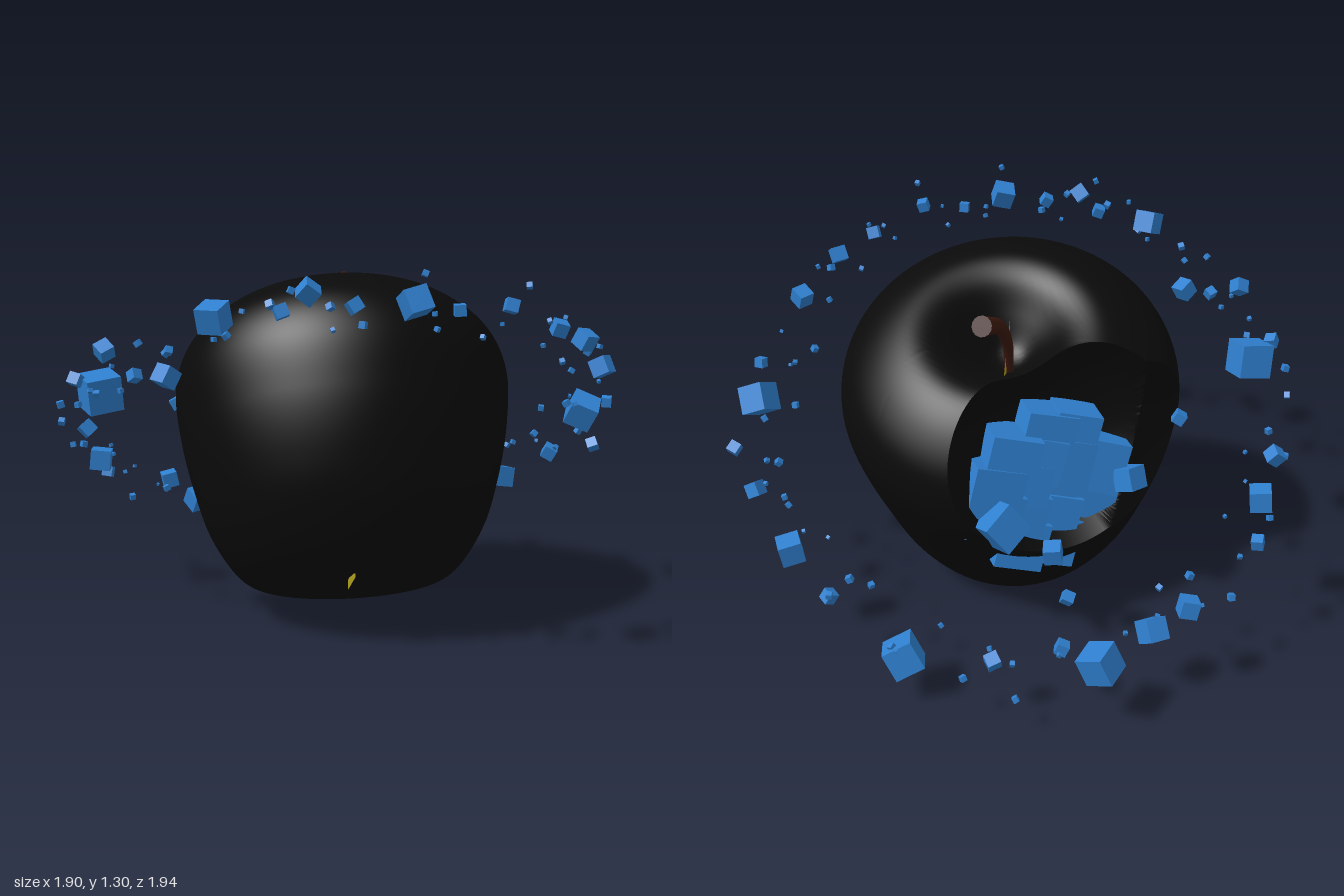
import * as THREE from 'three';
import { mergeVertices, toCreasedNormals } from 'three/addons/utils/BufferGeometryUtils.js';

const V = (x, y, z) => new THREE.Vector3(x, y, z);
const mat = (color, extra = {}) => new THREE.MeshStandardMaterial({ color, ...extra });

// Small seeded generator
function seeded(seed) {
  return () => {
    seed = (seed * 16807) % 2147483647;
    return seed / 2147483647;
  };
}

const CENTRE = V(0.01, 0.66, 0.04);
const AXIS = V(0.321, 0.891, -0.321).normalize();
// Sideways lean of the lower body
const LEAN = V(0.07, 0, -0.07);
// Spheres scooped out of the back: a deep one and a wide shallow one
const BITES = [
  { at: V(0.24, 0.78, -0.68), radius: 0.5 },
  { at: V(-0.1, 0.7, -1.25), radius: 0.84 },
];

// Apple outline as (polar angle from the axis, distance from the centre)
const OUTLINE = new THREE.SplineCurve([
  [0, 0.29], [0.06, 0.31], [0.14, 0.39], [0.23, 0.47], [0.33, 0.487], [0.45, 0.428], [0.555, 0.32],
  [0.6, 0.18], [0.585, 0], [0.54, -0.2], [0.48, -0.38], [0.38, -0.535], [0.27, -0.58],
  [0.15, -0.565], [0, -0.55],
].map(([r, h]) => new THREE.Vector2(r, h))).getPoints(300)
  .map((p) => ({ angle: Math.atan2(Math.max(p.x, 0), p.y), dist: p.length() }));

function outlineDistance(dir) {
  const angle = dir.angleTo(AXIS);
  const i = Math.max(1, OUTLINE.findIndex((p) => p.angle >= angle));
  const a = OUTLINE[i - 1], b = OUTLINE[i];
  return THREE.MathUtils.mapLinear(angle, a.angle, b.angle, a.dist, b.dist);
}

// Distance from the centre to the nearest bite wall
function biteDistance(dir) {
  return Math.min(...BITES.map(({ at, radius }) => {
    const o = CENTRE.clone().sub(at);
    const b = dir.dot(o);
    const disc = b * b - o.lengthSq() + radius * radius;
    return disc > 0 && b < 0 ? -b - Math.sqrt(disc) : Infinity;
  }));
}

// Apple: sphere grid with its pole in the bite and one row lying exactly on the bite rim
function appleGeometry() {
  const cols = 180, rows = 140, biteRows = 40;
  const turn = new THREE.Quaternion().setFromUnitVectors(
    V(0, 1, 0), V(0.1, 0.73, -0.8).sub(CENTRE).normalize());
  const direction = (col, theta) => {
    const u = (col / cols) * Math.PI * 2;
    return V(-Math.cos(u) * Math.sin(theta), Math.cos(theta), Math.sin(u) * Math.sin(theta))
      .applyQuaternion(turn);
  };
  const bitten = (col, theta) => {
    const d = direction(col, theta);
    return biteDistance(d) < outlineDistance(d);
  };
  const rim = Array.from({ length: cols + 1 }, (_, col) => {
    let hi = 0.02;
    while (bitten(col, hi)) hi += 0.02;
    let lo = hi - 0.02;
    for (let k = 0; k < 12; k++) {
      const mid = (lo + hi) / 2;
      if (bitten(col, mid)) lo = mid; else hi = mid;
    }
    return hi;
  });

  let geo = new THREE.SphereGeometry(1, cols, rows);
  const pos = geo.attributes.position;
  for (let i = 0; i < pos.count; i++) {
    const col = i % (cols + 1), row = Math.floor(i / (cols + 1));
    const theta = row <= biteRows
      ? (rim[col] * row) / biteRows
      : THREE.MathUtils.mapLinear(row, biteRows, rows, rim[col], Math.PI);
    const d = direction(col, theta);
    const p = d.clone().multiplyScalar(Math.min(outlineDistance(d), biteDistance(d)));
    const below = Math.min(0, p.dot(AXIS)) / 0.55;
    p.add(CENTRE).addScaledVector(LEAN, below * below);
    pos.setXYZ(i, p.x, p.y, p.z);
  }
  geo.deleteAttribute('uv');
  geo.deleteAttribute('normal');
  geo = mergeVertices(geo, 1e-5);
  return toCreasedNormals(geo, 0.6);
}

// Curved stem, thin at the base and wider at the tip
function stemGeometry() {
  const curve = new THREE.CatmullRomCurve3([
    V(0.13, 0.9, -0.09), V(0.165, 1.03, -0.125), V(0.235, 1.13, -0.17), V(0.365, 1.195, -0.24),
  ]);
  const rows = 20, sides = 14;
  const geo = new THREE.TubeGeometry(curve, rows, 1, sides);
  const pos = geo.attributes.position;
  const p = V(0, 0, 0);
  for (let i = 0; i < pos.count; i++) {
    const t = Math.floor(i / (sides + 1)) / rows;
    const c = curve.getPointAt(t);
    p.fromBufferAttribute(pos, i).sub(c).multiplyScalar(0.017 + 0.018 * t * t).add(c);
    pos.setXYZ(i, p.x, p.y, p.z);
  }
  geo.computeVertexNormals();
  const tip = new THREE.CircleGeometry(0.035, sides);
  tip.applyQuaternion(new THREE.Quaternion().setFromUnitVectors(V(0, 0, 1), curve.getTangentAt(1)));
  tip.translate(0.365, 1.195, -0.24);
  return [geo, tip];
}

// Larger orbiting cubes: x, y, z, size
const ORBIT = [
  [-0.68, 0.85, -0.48, 0.12], [0.4, 0.25, -0.87, 0.1], [0.17, 0.27, -0.87, 0.075],
  [0.08, 0.36, -0.94, 0.06], [-0.39, 0.53, -0.82, 0.075], [-0.47, 0.66, -0.8, 0.05],
  [-0.27, 0.45, -0.92, 0.04], [-0.09, 0.57, -0.48, 0.08], [0.28, 0.43, -0.5, 0.06],
  [-0.28, 0.76, -0.52, 0.04], [0.2, 0.2, -0.49, 0.04], [0.8, 0.17, -0.35, 0.105],
  [0.39, 0.51, -0.36, 0.12], [-0.77, 0.9, -0.5, 0.04], [-0.84, 1.02, -0.27, 0.05],
  [-0.84, 0.95, -0.13, 0.035], [-0.79, 0.95, -0.04, 0.06], [-0.82, 1.15, 0.2, 0.08],
  [-0.72, 1.17, 0.38, 0.04], [-0.69, 1.23, 0.46, 0.055], [-0.61, 1.19, 0.57, 0.04],
  [-0.5, 1.2, 0.71, 0.075], [-0.34, 1.17, 0.76, 0.035], [-0.21, 1.18, 0.86, 0.04],
  [0, 1.1, 0.91, 0.045], [0.17, 1.05, 0.91, 0.055], [0.37, 0.94, 0.87, 0.06],
  [0.63, 0.78, 0.76, 0.035], [0.73, 0.72, 0.61, 0.1], [0.86, 0.57, 0.59, 0.04],
  [0.91, 0.38, 0.15, 0.08], [0.9, 0.51, 0.38, 0.05], [0.9, 0.3, -0.07, 0.04],
  [0.44, 0.25, -0.73, 0.04], [0.64, 0.23, -0.62, 0.045],
];

export function createModel() {
  const model = new THREE.Group();
  const rand = seeded(4711);
  const jitter = (a) => (rand() * 2 - 1) * a;
  const blue = mat(0x2f80d0);
  const unitCube = new THREE.BoxGeometry(1, 1, 1);

  const add = (name, geo, material, parent = model) => {
    const mesh = new THREE.Mesh(geo, material);
    mesh.name = name;
    parent.add(mesh);
    return mesh;
  };
  const group = (name) => {
    const g = new THREE.Group();
    g.name = name;
    model.add(g);
    return g;
  };

  add('appleBody', appleGeometry(), mat(0x0a0a0a));

  const brown = mat(0x3d1a10);
  const [stem, tip] = stemGeometry();
  add('stem', stem, brown);
  add('stemTip', tip, brown);

  // Thin upright core sheet that shows in the top hollow
  const across = V(1, 0, -1).normalize();
  across.addScaledVector(AXIS, -across.dot(AXIS)).normalize();
  const core = add('coreSheet', new THREE.PlaneGeometry(0.24, 0.92), mat(0xb0a020, { side: THREE.DoubleSide }));
  core.quaternion.setFromRotationMatrix(
    new THREE.Matrix4().makeBasis(across, AXIS, across.clone().cross(AXIS)));
  core.position.copy(CENTRE).addScaledVector(AXIS, -0.08);

  // Packed cubes filling the bite
  const filling = group('biteCubes');
  filling.position.set(0.14, 0.55, -0.28);
  filling.rotation.set(0.05, -0.25, 0.3);
  for (let row = -2; row <= 2; row++) {
    for (let col = -1; col <= 2; col++) {
      if (Math.abs(row) === 2 && (col === -1 || col === 2)) continue;
      const cube = add('biteCube', unitCube, blue, filling);
      cube.position.set((col - 0.5) * 0.125 + jitter(0.02), row * 0.1 + jitter(0.015), jitter(0.02));
      cube.scale.setScalar(0.14 + rand() * 0.05);
      cube.rotation.set(jitter(0.04), -0.2 + jitter(0.04), jitter(0.04));
    }
  }

  // Tilted ring of cubes around the apple
  const ring = group('orbitCubes');
  const orbitCube = (x, y, z, size) => {
    const cube = add('orbitCube', unitCube, blue, ring);
    cube.position.set(x, y, z);
    cube.scale.setScalar(size);
    cube.rotation.set(jitter(0.6), jitter(0.8), jitter(0.6));
  };
  ORBIT.forEach((c) => orbitCube(...c));

  // Fine crumbs scattered along the same tilted ring
  for (let i = 0; i < 70; i++) {
    const a = (i / 70) * Math.PI * 2 + jitter(0.06);
    const r = 0.89 + jitter(0.08);
    const x = Math.cos(a) * r, z = Math.sin(a) * r;
    orbitCube(x, 0.72 - 0.36 * x + 0.4 * z + jitter(0.07), z, 0.01 + rand() * 0.013);
  }
  return model;
}
